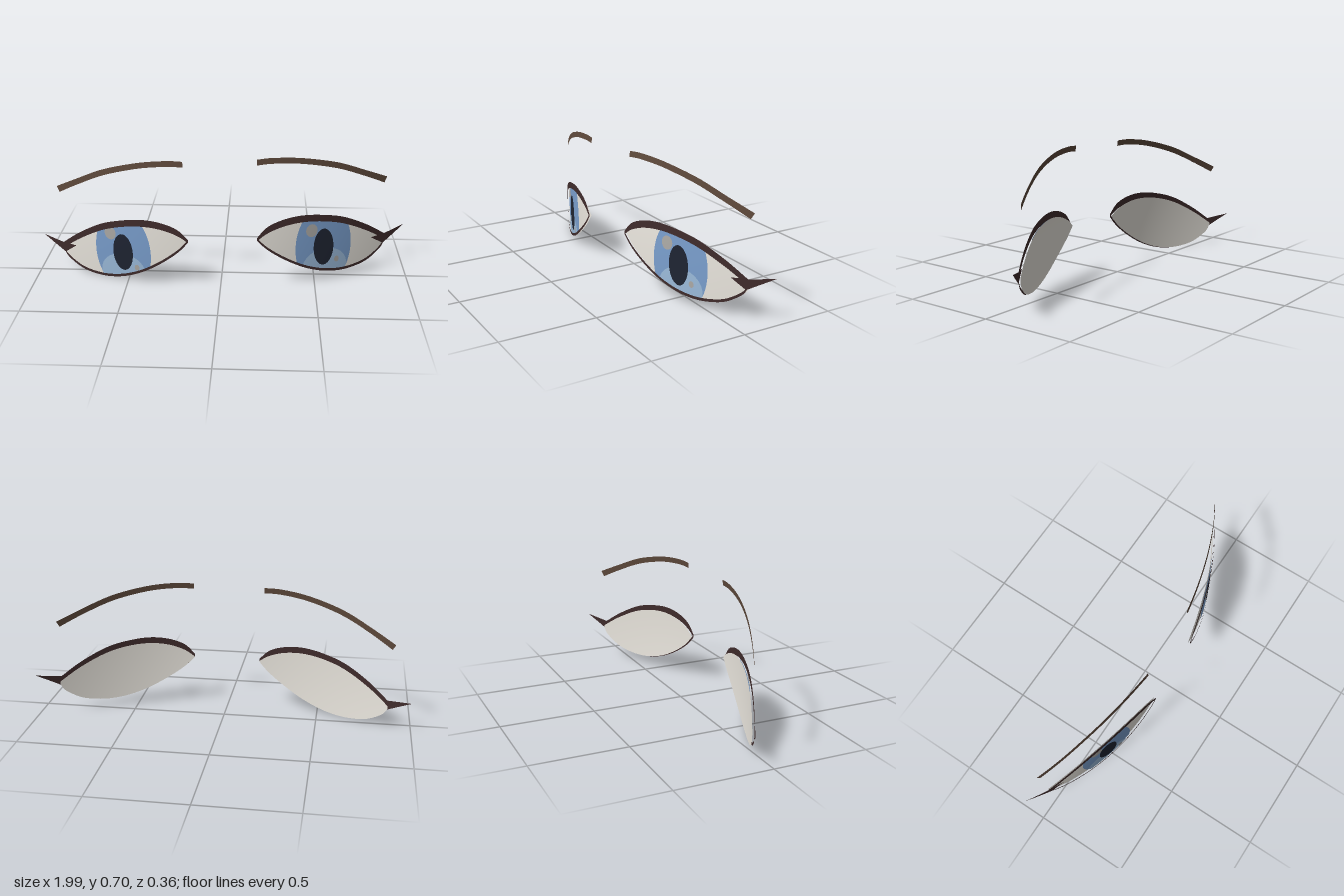
import * as THREE from 'three';

const spline = (pts) => new THREE.SplineCurve(pts.map(([x, y]) => new THREE.Vector2(x, y)));
const shifted = (pts, dy) => pts.map(([x, y]) => [x, y + dy]);
const along = (pts) => { const c = spline(pts); return (t) => c.getPoint(t); };

// Height of a left-to-right curve at a given x
function heightOf(pts) {
  const s = spline(pts).getPoints(120);
  return (x) => {
    let i = 1;
    while (i < s.length - 1 && s[i].x < x) i++;
    const k = (x - s[i - 1].x) / (s[i].x - s[i - 1].x);
    return s[i - 1].y + k * (s[i].y - s[i - 1].y);
  };
}

// Curved face surface that every part lies on
const faceZ = (x, y) => 0.182 - 0.327 * x * x - 0.12 * (y - 0.17) ** 2;

// Thin curved sheet between an upper and a lower edge
function sheet(name, color, side, upper, lower, lift, nx = 40, ny = 6) {
  const pos = [], index = [];
  for (let i = 0; i <= nx; i++) {
    const a = upper(i / nx), b = lower(i / nx);
    for (let j = 0; j <= ny; j++) {
      const x = a.x + (b.x - a.x) * j / ny, y = a.y + (b.y - a.y) * j / ny;
      pos.push(side * x, y, faceZ(x, y) + lift);
      if (i < nx && j < ny) {
        const p = i * (ny + 1) + j, q = p + ny + 1;
        if (side > 0) index.push(p, p + 1, q, q, p + 1, q + 1);
        else index.push(p, q, p + 1, q, q + 1, p + 1);
      }
    }
  }
  const geo = new THREE.BufferGeometry();
  geo.setAttribute('position', new THREE.Float32BufferAttribute(pos, 3));
  geo.setIndex(index);
  geo.computeVertexNormals();
  const mesh = new THREE.Mesh(geo, new THREE.MeshStandardMaterial({ color, side: THREE.DoubleSide }));
  mesh.name = name;
  return mesh;
}

// Lid, wing and brow outlines, from the inner to the outer corner
const lidTop = [[0.18, 0.277], [0.235, 0.333], [0.32, 0.366], [0.42, 0.377], [0.53, 0.364], [0.65, 0.33], [0.78, 0.258], [0.885, 0.178]];
const lidEdge = [[0.18, 0.26], [0.235, 0.298], [0.32, 0.328], [0.42, 0.339], [0.53, 0.328], [0.65, 0.293], [0.78, 0.223], [0.88, 0.15]];
const lowerLid = [[0.18, 0.262], [0.235, 0.205], [0.325, 0.139], [0.43, 0.079], [0.53, 0.042], [0.62, 0.027], [0.7, 0.03], [0.78, 0.05], [0.855, 0.1], [0.88, 0.142]];
const browTop = [[0.19, 0.695], [0.28, 0.697], [0.43, 0.68], [0.615, 0.632], [0.775, 0.56], [0.89, 0.503]];
const browLow = [[0.19, 0.665], [0.28, 0.667], [0.43, 0.65], [0.61, 0.602], [0.765, 0.532], [0.875, 0.473]];

const upperY = heightOf(shifted(lidEdge, 0.006));
const lowerY = heightOf(shifted(lowerLid, 0.005));

// Ellipse trimmed by the eyelids
function disc(name, color, side, cx, cy, rx, ry, lift) {
  const edge = (sign) => (t) => {
    const a = Math.PI * (1 - t), x = cx + rx * Math.cos(a);
    const y = cy + sign * ry * Math.sin(a);
    return new THREE.Vector2(x, Math.min(upperY(x), Math.max(lowerY(x), y)));
  };
  return sheet(name, color, side, edge(1), edge(-1), lift, 32, 6);
}

// Straight-edged wing at the outer corner
function wing(side) {
  const path = (pts) => (t) => {
    const k = Math.min(Math.floor(t * (pts.length - 1)), pts.length - 2);
    const f = t * (pts.length - 1) - k;
    return new THREE.Vector2(...pts[k]).lerp(new THREE.Vector2(...pts[k + 1]), f);
  };
  return sheet('lashWing', 0x402c2c, side,
    path([[0.803, 0.179], [0.88, 0.184], [0.997, 0.206]]),
    path([[0.803, 0.179], [0.872, 0.128], [0.997, 0.206]]), 0.006, 16, 4);
}

function eye(side) {
  const g = new THREE.Group();
  g.name = side > 0 ? 'leftEye' : 'rightEye';
  const lash = 0x402c2c, glint = 0xaeaca8, cx = 0.535;
  g.add(
    sheet('eyeWhite', 0xece8e0, side, along(shifted(lidEdge, 0.008)), along(shifted(lowerLid, 0.003)), -0.008, 48, 12),
    disc('iris', 0x7ba0cf, side, cx, 0.18, 0.152, 0.237, -0.004),
    disc('irisGlow', 0x9dbddd, side, cx + 0.005, 0.065, 0.122, 0.105, -0.002),
    disc('pupil', 0x1f2533, side, cx, 0.18, 0.054, 0.104, 0),
    // Glints fall on the same side of both eyes
    disc('largeGlint', glint, side, cx - side * 0.064, 0.284, 0.031, 0.036, 0.002),
    disc('smallGlint', glint, side, cx + side * 0.072, 0.098, 0.013, 0.017, 0.002),
    sheet('upperLash', lash, side, along(lidTop), along(lidEdge), 0.004),
    sheet('lowerLash', lash, side, along(shifted(lowerLid, 0.015)), along(lowerLid), 0.004, 48, 2),
    wing(side),
  );
  return g;
}

export function createModel() {
  const model = new THREE.Group();
  model.name = 'eyesAndBrows';
  // Slight turn and tilt of the whole face
  const face = new THREE.Group();
  face.name = 'face';
  face.rotation.set(0, 0.0375, 0.034);
  face.position.set(0.012, -0.004, 0);
  for (const side of [1, -1]) {
    face.add(eye(side));
    face.add(sheet(side > 0 ? 'leftBrow' : 'rightBrow', 0x5f4a3c, side, along(browTop), along(browLow), 0, 32, 2));
  }
  model.add(face);
  return model;
}
